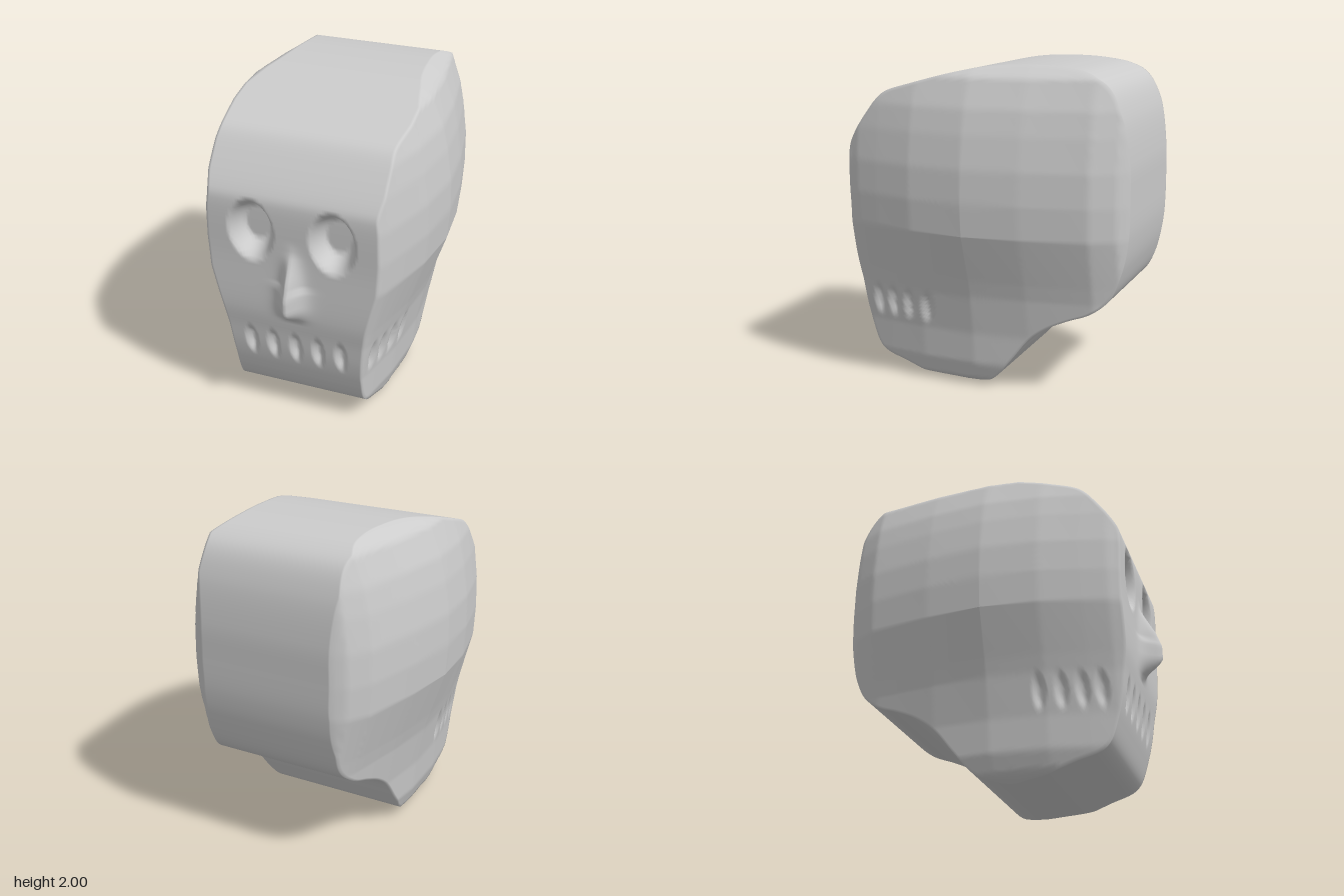
import * as THREE from 'three';

// side outline of the skull as [z, y], from the brow over the crown and round to the face
const OUTLINE = [
  [0.82, 1.48], [0.8, 1.53], [0.7, 1.68], [0.61, 1.79], [0.56, 1.825], [0.38, 1.88], [0.07, 1.96],
  [-0.12, 1.99], [-0.35, 2], [-0.55, 1.99], [-0.7, 1.96], [-0.82, 1.885], [-0.9, 1.72], [-0.945, 1.45],
  [-0.95, 1.25], [-0.945, 1], [-0.91, 0.8], [-0.84, 0.63], [-0.73, 0.54], [-0.6, 0.49], [-0.47, 0.43],
  [-0.35, 0.34], [-0.22, 0.18], [-0.1, 0.05], [0.08, 0], [0.2, 0.01], [0.35, 0.03], [0.5, 0.08],
  [0.65, 0.13], [0.7, 0.18], [0.75, 0.32], [0.78, 0.45], [0.8, 0.6], [0.82, 0.75], [0.82, 1.1],
];
// half width by height, and width factor by depth
const WIDTH = [[0, 0.38], [0.04, 0.46], [0.15, 0.5], [0.35, 0.52], [0.6, 0.57], [0.7, 0.6], [0.85, 0.65],
  [1, 0.7], [1.2, 0.715], [1.4, 0.71], [1.6, 0.68], [1.75, 0.645], [1.93, 0.57], [2, 0.46]];
const TAPER = [[-0.95, 0.61], [-0.9, 0.72], [-0.75, 0.84], [-0.35, 0.95], [0, 1], [0.35, 0.95],
  [0.6, 0.86], [0.75, 0.8], [0.82, 0.75]];
// nose ridge: [height, projection]
const NOSE = [[0.72, 0], [0.77, 0.075], [0.82, 0.13], [0.92, 0.13], [1.02, 0.095], [1.18, 0.01], [1.24, 0]];

function lookup(table, t) {
  if (t <= table[0][0]) return table[0][1];
  for (let i = 1; i < table.length; i++) {
    const [a, va] = table[i - 1], [b, vb] = table[i];
    if (t <= b) return va + (vb - va) * (t - a) / (b - a);
  }
  return table[table.length - 1][1];
}

const halfWidth = (y, z) => lookup(WIDTH, y) * lookup(TAPER, z);

// 1 inside an ellipse, fading to 0 at its edge
function dent(u, v, ru, rv, floor) {
  return 1 - THREE.MathUtils.smoothstep(Math.hypot(u / ru, v / rv), floor, 1.05);
}

// depth relief of the face: eye sockets, nose and front tooth gaps
function faceRelief(x, y) {
  let d = -0.13 * dent(Math.abs(x) - 0.255, y - 1.285, 0.14, 0.19, 0.6);
  const spread = y < 0.95 ? 0.06 : 0.045;
  d += lookup(NOSE, y) * Math.exp(-Math.pow(Math.abs(x) / spread, 1.5));
  for (let k = -2; k <= 2; k++) d -= 0.04 * dent(x - k * 0.146, y - 0.5, 0.04, 0.11, 0.3);
  return d;
}

// relief of the cheeks: side tooth gaps
function cheekRelief(y, z) {
  let d = 0;
  for (const c of [0.67, 0.56, 0.44, 0.31]) d -= 0.03 * dent(z - c, y - 0.49, 0.04, 0.115, 0.3);
  return d;
}

function skullGeometry() {
  const N = 270, CAP = 38, BAND = 72;
  const curve = new THREE.CatmullRomCurve3(OUTLINE.map(([z, y]) => new THREE.Vector3(0, y, z)), true);
  const rim = curve.getSpacedPoints(N).slice(0, N);
  const cy = 1, cols = CAP * 2 + BAND + 1;
  const pos = [], index = [];
  for (const p of rim) {
    const edge = halfWidth(p.y, p.z);
    for (let j = 0; j < cols; j++) {
      const fromEnd = Math.min(j, cols - 1 - j);
      if (fromEnd < CAP) {
        // bulging side, from its middle out to the rim
        const s = Math.pow(fromEnd / CAP, 0.75);
        const y = cy + (p.y - cy) * s, z = p.z * s;
        const x = halfWidth(y, z) + cheekRelief(y, z);
        pos.push(j < CAP ? -x : x, y, z);
      } else {
        // band running across the face, crown, back and jaw
        const x = edge * ((j - CAP) / BAND * 2 - 1);
        const onFace = p.z > 0.6 && p.y > 0.3 && p.y < 1.55;
        pos.push(x, p.y, p.z + (onFace ? faceRelief(x, p.y) : 0));
      }
    }
  }
  for (let i = 0; i < N; i++) {
    for (let j = 0; j < cols - 1; j++) {
      const a = i * cols + j, b = ((i + 1) % N) * cols + j;
      index.push(a, a + 1, b, a + 1, b + 1, b);
    }
  }
  const geo = new THREE.BufferGeometry();
  geo.setAttribute('position', new THREE.Float32BufferAttribute(pos, 3));
  geo.setIndex(index);
  geo.computeVertexNormals();
  return geo;
}

export function createModel() {
  const group = new THREE.Group();
  group.name = 'skullHead';
  const skull = new THREE.Mesh(skullGeometry(), new THREE.MeshStandardMaterial({ color: 0xcccccc }));
  skull.name = 'skull';
  group.add(skull);
  return group;
}
